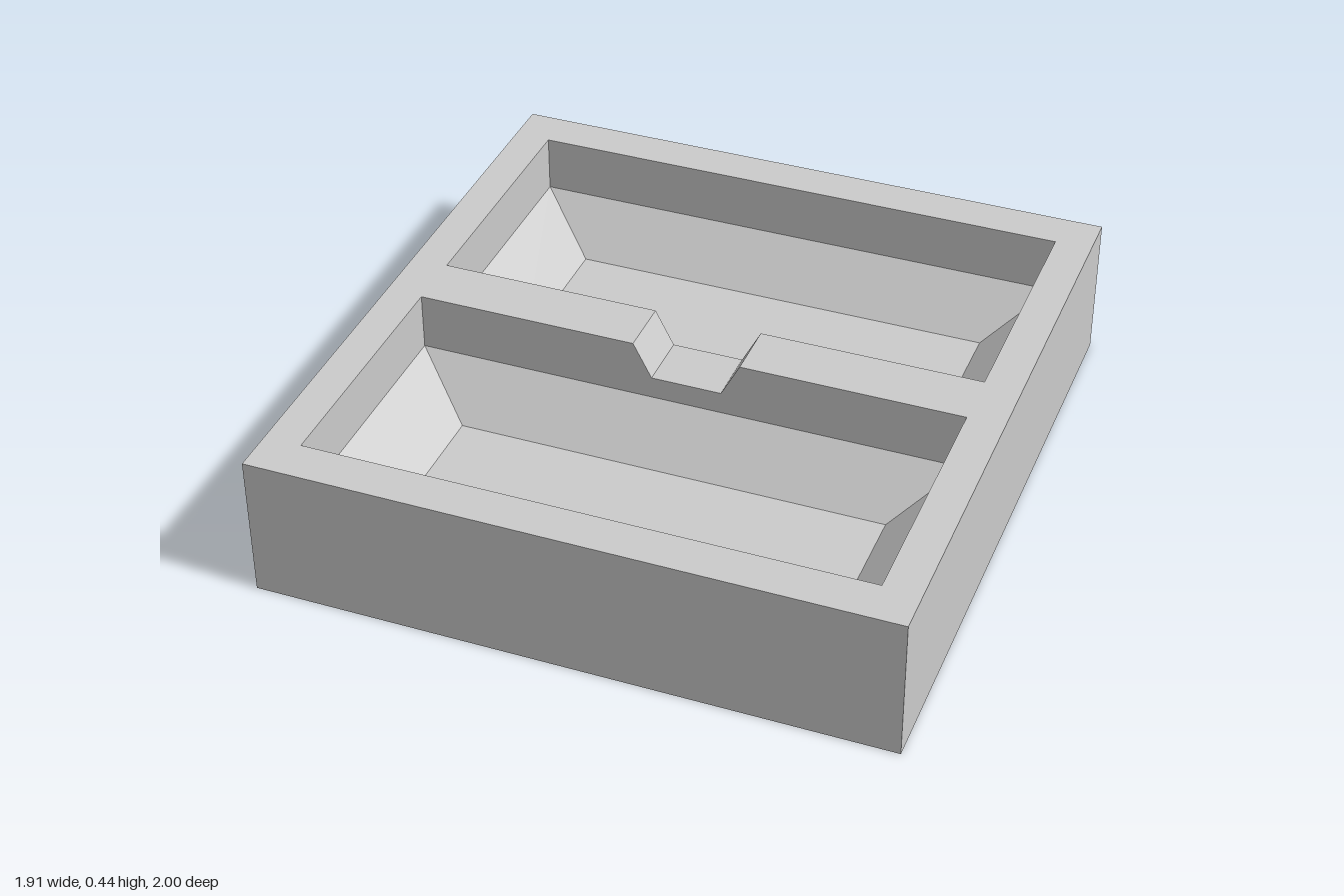
import * as THREE from 'three';

const HEIGHT = 0.445, LEDGE = 0.267, FLOOR = 0.112, NOTCH = 0.336;
const material = new THREE.MeshStandardMaterial({ color: 0xcccccc, flatShading: true });

// A level rectangle, counter-clockwise from above.
const ring = (halfX, z0, z1, y) => [
  [-halfX, y, z1], [halfX, y, z1], [halfX, y, z0], [-halfX, y, z0],
];

// Skins successive rings with flat quads and optionally closes either end.
function loft(rings, capStart, capEnd) {
  const positions = [];
  const quad = (a, b, c, d) => positions.push(...a, ...b, ...c, ...a, ...c, ...d);
  for (let i = 0; i < rings.length - 1; i++) {
    for (let j = 0; j < 4; j++) {
      const k = (j + 1) % 4;
      quad(rings[i][j], rings[i][k], rings[i + 1][k], rings[i + 1][j]);
    }
  }
  if (capStart) quad(...[...rings[0]].reverse());
  if (capEnd) quad(...rings[rings.length - 1]);
  const geometry = new THREE.BufferGeometry();
  geometry.setAttribute('position', new THREE.Float32BufferAttribute(positions, 3));
  geometry.computeVertexNormals();
  return geometry;
}

export function createModel() {
  const group = new THREE.Group();
  const add = (name, geometry) => {
    const mesh = new THREE.Mesh(geometry, material);
    mesh.name = name;
    group.add(mesh);
  };

  // Underside, outer walls, rim and upright inner walls in one skin
  add('outerTray', loft([
    ring(0.956, -1, 1, 0),
    ring(0.956, -1, 1, HEIGHT),
    ring(0.843, -0.868, 0.868, HEIGHT),
    ring(0.843, -0.868, 0.868, LEDGE),
  ], true, false));

  // Sloping basins with flat floors
  add('frontBasin', loft([ring(0.843, 0.09, 0.868, LEDGE), ring(0.663, 0.23, 0.73, FLOOR)], false, true));
  add('backBasin', loft([ring(0.843, -0.868, -0.09, LEDGE), ring(0.663, -0.73, -0.23, FLOOR)], false, true));

  // Dividing wall with a tapered pouring notch in the middle
  const profile = new THREE.Shape([
    [-0.843, LEDGE], [0.843, LEDGE], [0.843, HEIGHT], [0.165, HEIGHT],
    [0.108, NOTCH], [-0.108, NOTCH], [-0.165, HEIGHT], [-0.843, HEIGHT],
  ].map(([x, y]) => new THREE.Vector2(x, y)));
  const divider = new THREE.ExtrudeGeometry(profile, { depth: 0.18, bevelEnabled: false });
  divider.translate(0, 0, -0.09);
  add('notchedDivider', divider);

  return group;
}
